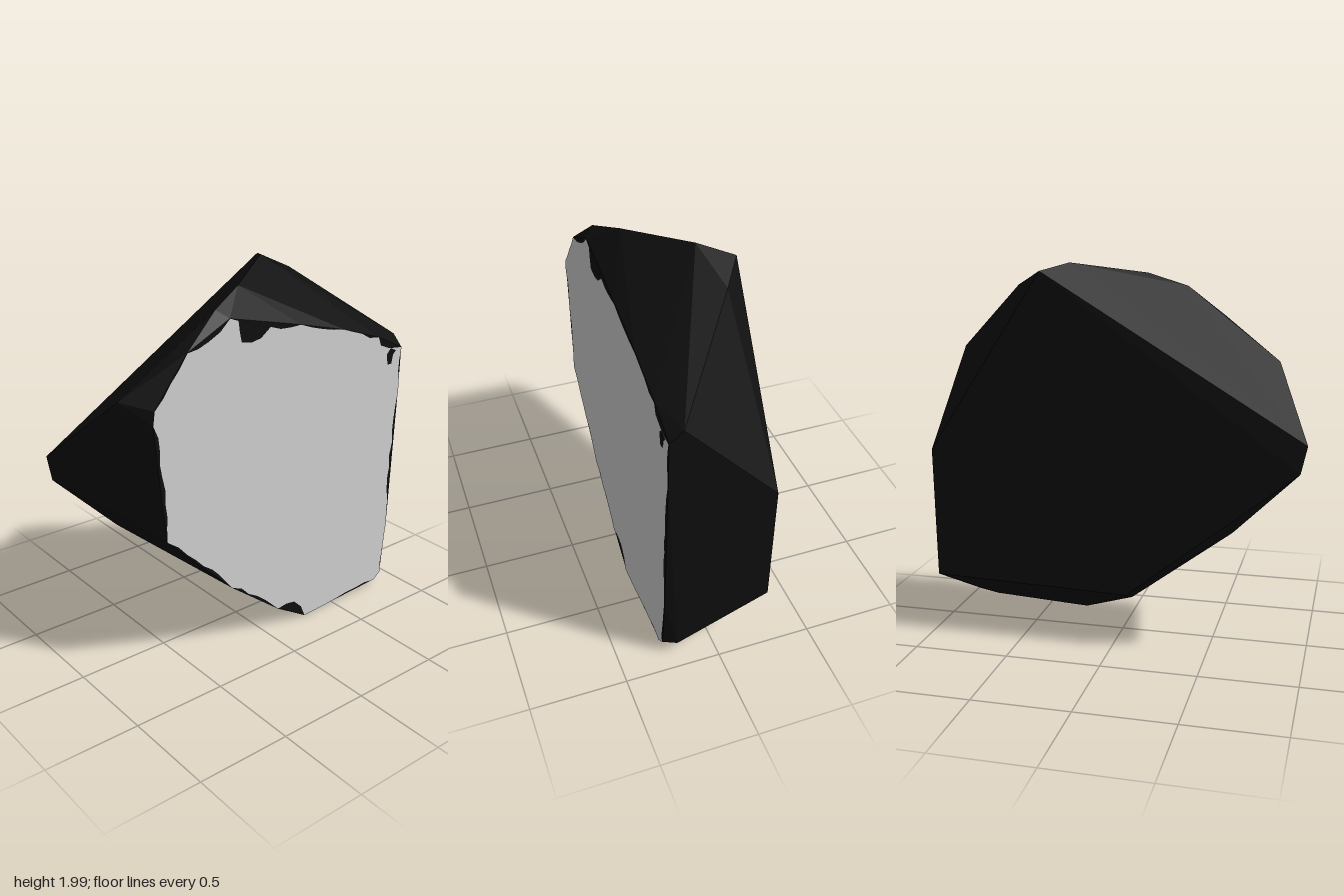
import * as THREE from 'three';
import { ConvexGeometry } from 'three/addons/geometries/ConvexGeometry.js';

const FRONT = 0.267, BACK = -0.268;

// Outline of the pale front face, counter-clockwise
const faceOutline = [
  [0.28, 0.01], [0.45, 0.02], [0.83, 0.04], [0.88, 0.08], [0.91, 0.4], [0.915, 0.9], [0.94, 1.2],
  [0.945, 1.46], [0.78, 1.5], [0.76, 1.55], [0.5, 1.64], [0.2, 1.72], [0, 1.745], [-0.06, 1.7],
  [-0.18, 1.7], [-0.2, 1.81], [-0.25, 1.83], [-0.38, 1.74], [-0.5, 1.71], [-0.6, 1.58], [-0.69, 1.47],
  [-0.7, 1.4], [-0.67, 1.2], [-0.64, 0.78], [-0.52, 0.67], [-0.24, 0.38], [0.08, 0.13], [0.2, 0.13],
];

// Small seeded random numbers for the chipped rim
function seeded(seed) {
  return () => {
    seed = (seed * 16807) % 2147483647;
    return seed / 2147483647;
  };
}

// Divide each edge and nudge the new points to make a ragged outline
function raggedOutline(points) {
  const random = seeded(71);
  const result = [];
  points.forEach(([x, y], i) => {
    const [nx, ny] = points[(i + 1) % points.length];
    const length = Math.hypot(nx - x, ny - y);
    const steps = Math.max(1, Math.round(length / 0.07));
    for (let k = 0; k < steps; k++) {
      const t = k / steps;
      const inset = k === 0 ? 0 : random() * 0.018;
      result.push(new THREE.Vector2(
        x + (nx - x) * t - ((ny - y) / length) * inset,
        y + (ny - y) * t + ((nx - x) / length) * inset,
      ));
    }
  });
  return result;
}

export function createModel() {
  const group = new THREE.Group();
  const darkStone = new THREE.MeshStandardMaterial({ color: 0x0f0f0f });
  darkStone.name = 'dark stone';
  const paleStone = new THREE.MeshStandardMaterial({ color: 0xd4d4d4 });
  paleStone.name = 'pale stone';

  // Faceted dark body: front rim, back corners and the ridges between
  const corners = [
    ...faceOutline.map(([x, y]) => [x, y, FRONT]),
    [0.36, 1.965, BACK], [0.97, 1.03, BACK], [0.96, 0.34, BACK],
    [-0.08, 0.31, BACK], [-0.95, 1.01, BACK], [-0.98, 1.15, -0.255],
    [0.25, 2.0, -0.11], [-0.1, 1.94, 0.14], [-0.3, 1.87, 0.22], [0.5, 1.89, -0.17],
    [-0.8, 1.5, 0.13], [0.95, 1.52, 0.2], [0.92, 0.09, 0.2],
    [-0.62, 0.675, -0.22], [-0.08, 0.245, -0.12],
  ].map((p) => new THREE.Vector3(...p));
  const body = new THREE.Mesh(new ConvexGeometry(corners), darkStone);
  body.name = 'stoneBody';
  group.add(body);

  // Pale broken face with a small chip near the upper corner
  const shape = new THREE.Shape(raggedOutline(faceOutline));
  shape.holes.push(new THREE.Path([[0.84, 1.38], [0.87, 1.38], [0.88, 1.43], [0.9, 1.45], [0.86, 1.47], [0.83, 1.44]]
    .map((p) => new THREE.Vector2(...p))));
  const face = new THREE.Mesh(new THREE.ShapeGeometry(shape), paleStone);
  face.name = 'paleFrontFace';
  face.position.z = FRONT + 0.003;
  group.add(face);

  return group;
}
